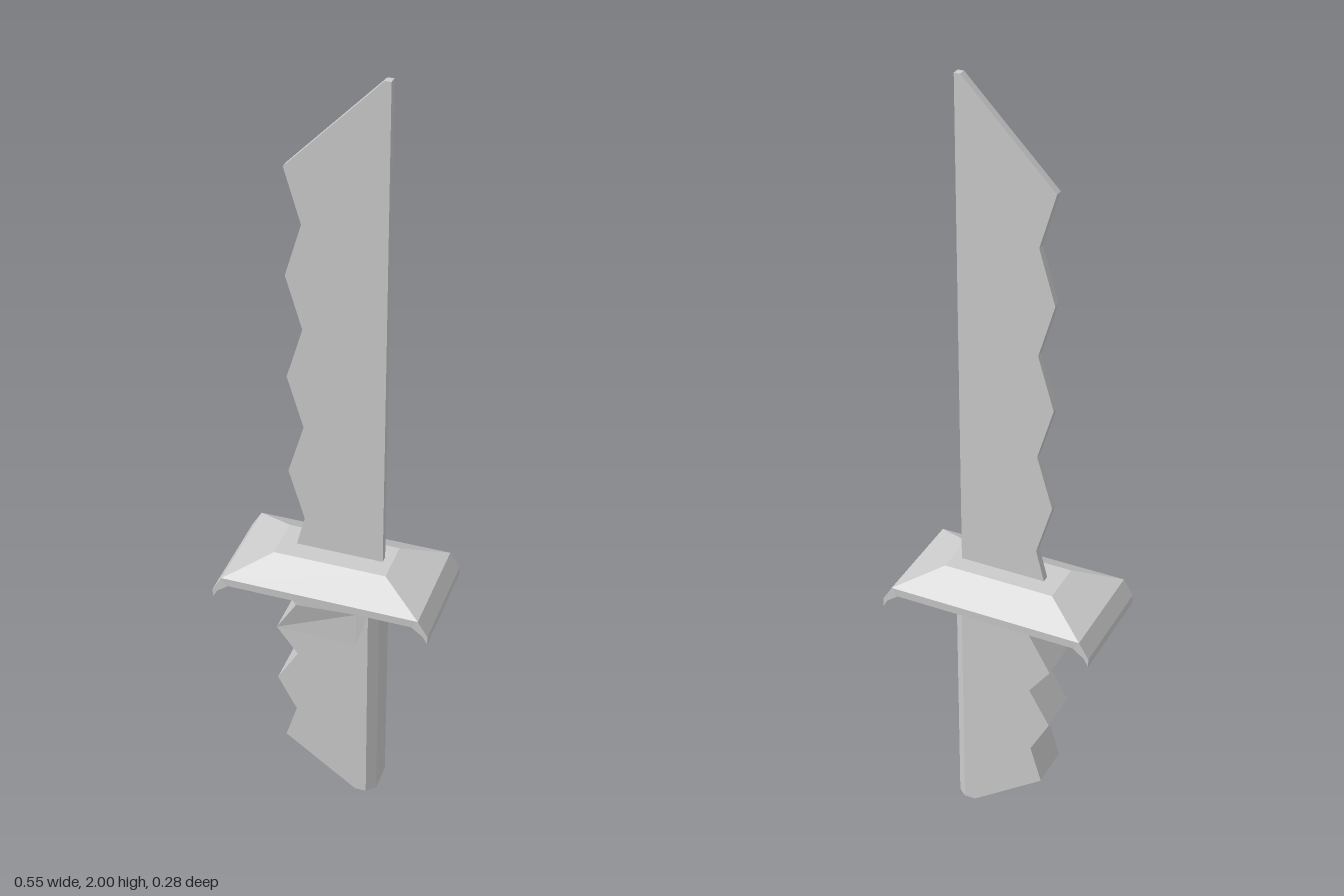
import * as THREE from 'three';

const material = new THREE.MeshStandardMaterial({ color: 0xcccccc, flatShading: true });

function addMesh(parent, name, geometry) {
  const mesh = new THREE.Mesh(geometry, material);
  mesh.name = name;
  parent.add(mesh);
  return mesh;
}

// Skin a stack of matching rings and close both ends with strips
function loft(rings) {
  const pos = [];
  const quad = (a, b, c, d) => pos.push(...a, ...b, ...c, ...a, ...c, ...d);
  const n = rings[0].length;
  for (let r = 0; r < rings.length - 1; r++) {
    for (let i = 0; i < n; i++) {
      const j = (i + 1) % n;
      quad(rings[r][i], rings[r][j], rings[r + 1][j], rings[r + 1][i]);
    }
  }
  const first = rings[0], last = rings[rings.length - 1];
  for (let i = 0; i < n / 2 - 1; i++) {
    const k = n - 1 - i;
    quad(first[k], first[k - 1], first[i + 1], first[i]);
    quad(last[i], last[i + 1], last[k - 1], last[k]);
  }
  const geometry = new THREE.BufferGeometry();
  geometry.setAttribute('position', new THREE.Float32BufferAttribute(pos, 3));
  geometry.computeVertexNormals();
  return geometry;
}

// Extrude an x-y outline between two z positions
function slab(points, z0, z1) {
  const shape = new THREE.Shape(points.map(([x, y]) => new THREE.Vector2(x, y)));
  return new THREE.ExtrudeGeometry(shape, { depth: z1 - z0, bevelEnabled: false }).translate(0, 0, z0);
}

export function createModel() {
  const group = new THREE.Group();

  // Blade: straight spine, wavy edge and slanted tip
  const blade = [[0.12, 0.73], [0.12, 2], [0.105, 2]];
  for (let i = 0; i < 8; i++) blade.push([i % 2 ? -0.08 : -0.12, 1.77 - i * 0.1345]);
  blade.push([-0.105, 0.73]);
  addMesh(group, 'blade', slab(blade, -0.012, 0.007));

  // Guard: hollow sloped plate, from inner roof round the rim to the top
  const rect = (x, y, z) => [[-x, y, z], [x, y, z], [x, y, -z], [-x, y, -z]];
  const guard = new THREE.Group();
  guard.name = 'guard';
  group.add(guard);
  addMesh(guard, 'guardPlate', loft([
    rect(0.13, 0.725, 0.05),
    rect(0.237, 0.675, 0.137),
    rect(0.25, 0.697, 0.138),
    rect(0.143, 0.745, 0.057),
  ]));

  // Drooping lips at both ends of the guard
  for (const s of [1, -1]) {
    const lip = [[0.25, 0.697], [0.275, 0.656], [0.275, 0.633], [0.263, 0.654], [0.235, 0.675]];
    addMesh(guard, s > 0 ? 'leftLip' : 'rightLip', slab(lip.map(([x, y]) => [s * x, y]), -0.138, 0.138));
  }

  // Grip: chamfered spine and finger notches; each level is
  // [notch x, notch y, spine y, front z at the notch]
  const levels = [
    [-0.12, 0.14, 0, 0.057],
    [-0.09, 0.24, 0.24, 0.057],
    [-0.14, 0.335, 0.335, 0.057],
    [-0.085, 0.43, 0.43, 0.057],
    [-0.14, 0.505, 0.505, 0.057],
    [-0.08, 0.61, 0.605, 0.078],
    [-0.14, 0.7, 0.725, 0.08],
  ];
  addMesh(group, 'grip', loft(levels.map(([x, y, s, z]) => [
    [x, y, z],
    [0.07, s, 0.057 + (z - 0.057) * 0.14],
    [0.1, s, 0.057],
    [0.122, s, 0.035],
    [0.122, s, -0.04],
    [0.1, s, -0.057],
    [0.07, s, -0.057],
    [x, y, -0.057],
  ])));

  return group;
}
